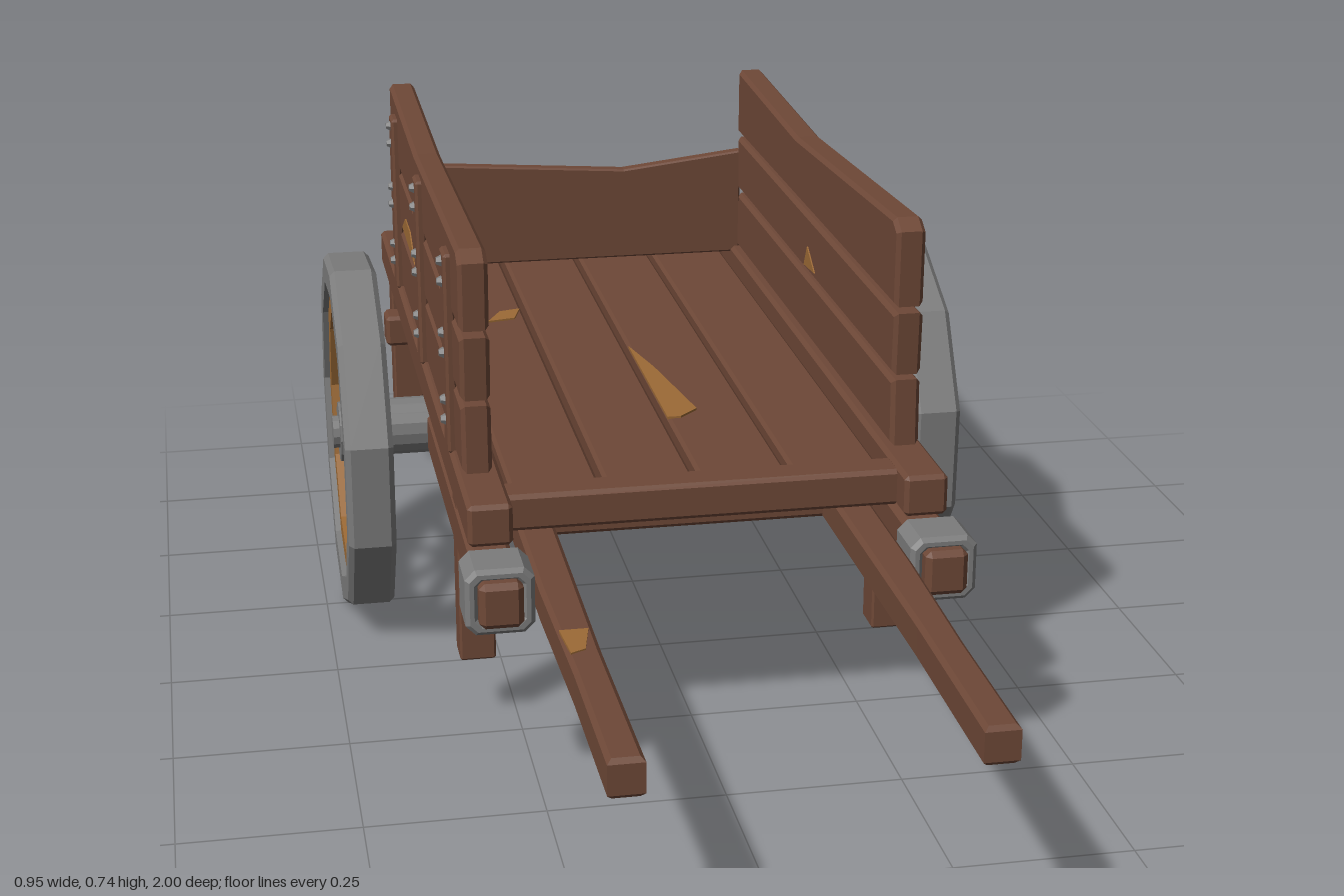
import * as THREE from 'three';
import { ConvexGeometry } from 'three/addons/geometries/ConvexGeometry.js';

const mat = (name, color) => {
  const m = new THREE.MeshStandardMaterial({ color, flatShading: true });
  m.name = name;
  return m;
};

export function createModel() {
  const wood = mat('brown wood', 0x6e4837);
  const paleWood = mat('pale bare wood', 0x9c6a36);
  const iron = mat('grey iron', 0x7c7c7c);
  const cart = new THREE.Group();
  cart.name = 'handcart';

  const add = (name, geo, material, parent = cart) => {
    const m = new THREE.Mesh(geo, material);
    m.name = name;
    parent.add(m);
    return m;
  };

  // Box with chamfered edges, given as min/max ranges
  const beamGeo = ([x0, x1], [y0, y1], [z0, z1], b = 0.006) => {
    const half = [(x1 - x0) / 2, (y1 - y0) / 2, (z1 - z0) / 2];
    const pts = [];
    for (const sx of [-1, 1]) for (const sy of [-1, 1]) for (const sz of [-1, 1])
      for (let k = 0; k < 3; k++) {
        const p = [sx, sy, sz].map((s, i) => s * (half[i] - (i === k ? 0 : b)));
        pts.push(new THREE.Vector3(...p));
      }
    const g = new ConvexGeometry(pts);
    g.translate((x0 + x1) / 2, (y0 + y1) / 2, (z0 + z1) / 2);
    return g;
  };
  const beam = (name, x, y, z, material = wood, b) => add(name, beamGeo(x, y, z, b), material);
  const sided = (s, a, b) => (s > 0 ? [a, b] : [-b, -a]);

  // Slab cut from an outline, facing x (z,y points), y (x,z points) or z (x,y points)
  const slab = (points, thick, axis, at, bevel = 0, hole) => {
    const shape = new THREE.Shape(points.map((p) => new THREE.Vector2(...p)));
    if (hole) shape.holes.push(new THREE.Path(hole.map((p) => new THREE.Vector2(...p))));
    const depth = thick - 2 * bevel;
    const g = new THREE.ExtrudeGeometry(shape, {
      depth, bevelEnabled: bevel > 0, bevelSize: bevel, bevelThickness: bevel, bevelOffset: -bevel, bevelSegments: 1,
    });
    g.translate(0, 0, -depth / 2);
    if (axis === 'x') g.rotateY(-Math.PI / 2).translate(at, 0, 0);
    if (axis === 'y') g.rotateX(Math.PI / 2).translate(0, at, 0);
    if (axis === 'z') g.translate(0, 0, at);
    return g;
  };

  // Bed: four planks between front and back cross beams
  for (let i = 0; i < 4; i++) {
    const x = -0.266 + i * 0.1335;
    beam('bedPlank', [x, x + 0.125], [0.355, 0.398], [-0.855, 0.295], wood, 0.005);
  }
  beam('frontCrossBeam', [-0.28, 0.28], [0.352, 0.405], [0.29, 0.345]);
  beam('backCrossBeam', [-0.28, 0.28], [0.352, 0.405], [-0.905, -0.85]);
  beam('frontUnderBeam', [-0.28, 0.28], [0.285, 0.338], [0.155, 0.21]);
  beam('rearUnderBeam', [-0.355, 0.355], [0.285, 0.338], [-0.75, -0.695]);

  // Tailboard with a worn top edge
  add('tailboard', slab([[-0.29, 0.4], [0.29, 0.4], [0.29, 0.585], [0.08, 0.56], [-0.29, 0.585]], 0.024, 'z', -0.793, 0.003), wood);

  for (const s of [1, -1]) {
    // Frame: rail, lower beam, legs, pulling shaft
    beam('sideRail', sided(s, 0.274, 0.336), [0.35, 0.41], [-1, 0.388]);
    beam('lowerBeam', sided(s, 0.275, 0.335), [0.277, 0.342], [-0.19, 0.5], wood, 0.008);
    beam('frontLeg', sided(s, 0.281, 0.333), [0.1, 0.36], [0.157, 0.21], wood, 0.003);
    beam('backLeg', sided(s, 0.281, 0.333), [0.1, 0.36], [-0.887, -0.835], wood, 0.003);
    const shaft = [[0.202, 0.2], [0.255, 0.2], [0.255, 0.5], [0.249, 0.76], [0.248, 1], [0.202, 1], [0.205, 0.7]];
    add('shaft', slab(shaft.map(([x, z]) => [s * x, z]), 0.052, 'y', 0.308, 0.006), wood);

    // Iron clamp around the lower beam
    const ring = (w, c) => [[-w, -w + c], [-w + c, -w], [w - c, -w], [w, -w + c], [w, w - c], [w - c, w], [-w + c, w], [-w, w - c]]
      .map(([x, y]) => [s * 0.305 + x, 0.309 + y]);
    add('ironClamp', slab(ring(0.047, 0.014), 0.08, 'z', 0.442, 0.006, ring(0.029, 0.006)), iron);

    // Side wall: three boards, the top one worn along its edge
    const top = s > 0 ? 0.742 : 0.729;
    const boards = [
      [[0.263, 0.41], [0.26, 0.508], [-0.78, 0.508], [-0.785, 0.41]],
      [[0.26, 0.516], [0.265, 0.608], [-0.784, 0.61], [-0.78, 0.516]],
      [[0.262, 0.617], [0.265, top - 0.015], [0.24, top], [-0.35, 0.714], [-0.782, 0.73], [-0.785, 0.617]],
    ];
    for (const b of boards) add('sideBoard', slab(b, 0.042, 'x', s * 0.307, 0.006), wood);

    // Straps with rivets
    for (const z of [0.143, -0.257, -0.668]) {
      beam('strap', sided(s, 0.322, 0.338), [0.405, 0.7], [z - 0.025, z + 0.025], wood, 0.004);
      for (const y of [0.45, 0.48, 0.55, 0.58, 0.655, 0.685]) {
        const g = new THREE.CylinderGeometry(0.005, 0.009, 0.008, 6);
        g.rotateZ(-s * Math.PI / 2).translate(s * 0.341, y, z);
        add('rivet', g, iron);
      }
    }

    // Wheel: eleven-sided tyre, wooden rim, nine spokes and a hub
    const wheel = new THREE.Group();
    wheel.name = 'wheel';
    wheel.position.set(s * 0.438, 0.286, -0.28);
    cart.add(wheel);
    const turned = (r0, r1, h, c) => new THREE.LatheGeometry(
      [[r0, -h], [r1 - c, -h], [r1, -h + c], [r1, h - c], [r1 - c, h], [r0, h], [r0, -h]].map((p) => new THREE.Vector2(...p)),
      11, THREE.MathUtils.degToRad(84)).rotateZ(-Math.PI / 2);
    add('tyre', turned(0.24, 0.285, 0.036, 0.008), iron, wheel);
    add('woodenRim', turned(0.205, 0.244, 0.027, 0.002), paleWood, wheel);
    for (let i = 0; i < 9; i++) {
      const a = THREE.MathUtils.degToRad(102 - i * 40);
      add('spoke', beamGeo([-0.013, 0.013], [0.03, 0.215], [-0.012, 0.012], 0.003).rotateX(a - Math.PI / 2), paleWood, wheel);
    }
    for (const [name, r, len] of [['hub', 0.048, 0.058], ['hubCap', 0.026, 0.078]])
      add(name, new THREE.CylinderGeometry(r, r, len, 12).rotateZ(Math.PI / 2), iron, wheel);
  }

  add('axle', new THREE.CylinderGeometry(0.045, 0.045, 0.86, 16).rotateZ(Math.PI / 2).translate(0, 0.289, -0.283), iron);

  // Bare patches where the wood is splintered
  const patches = [
    [[[0, -0.28], [0.022, -0.17], [0.05, 0.03], [0.02, 0.06], [0, 0.06]], 'y', 0.399],
    [[[-0.205, -0.45], [-0.18, -0.5], [-0.145, -0.51], [-0.16, -0.46]], 'y', 0.399],
    [[[-0.25, 0.64], [-0.212, 0.64], [-0.225, 0.7], [-0.245, 0.71]], 'y', 0.334],
    [[[-0.38, 0.525], [-0.45, 0.56], [-0.53, 0.56], [-0.59, 0.53]], 'x', 0.328],
    [[[0.2, 0.43], [0.06, 0.43], [0.02, 0.47], [0.1, 0.49]], 'x', 0.328],
    [[[-0.38, 0.525], [-0.45, 0.56], [-0.53, 0.56], [-0.59, 0.53]], 'x', -0.328],
    [[[-0.2, 0.53], [-0.25, 0.56], [-0.27, 0.525]], 'x', 0.286],
    [[[-0.4, 0.43], [-0.5, 0.47], [-0.56, 0.44]], 'x', -0.286],
  ];
  for (const [pts, axis, at] of patches) add('barePatch', slab(pts, 0.004, axis, at), paleWood);

  return cart;
}
